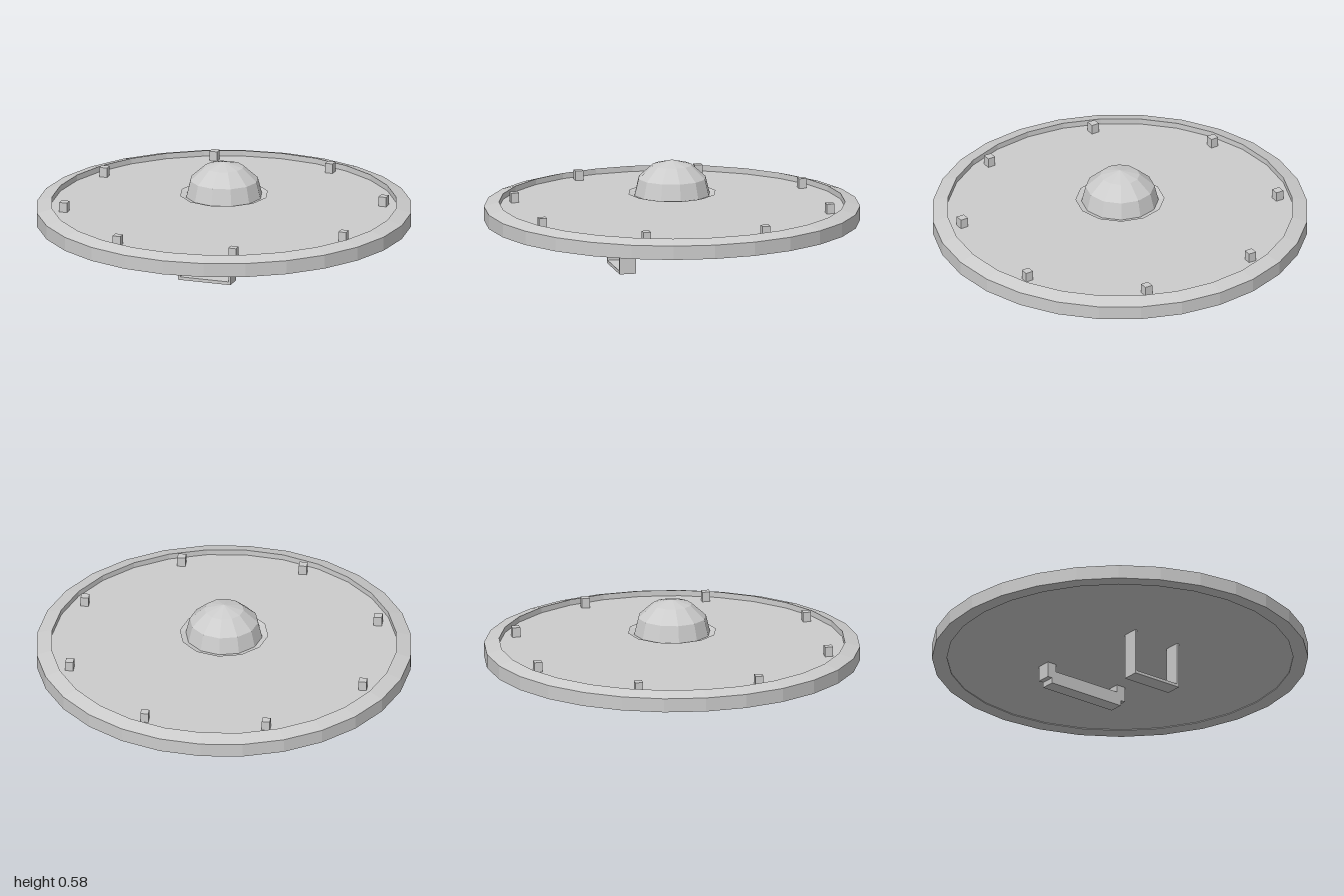
import * as THREE from 'three';

export function createModel() {
  const group = new THREE.Group();
  group.name = 'roundShield';

  const steel = new THREE.MeshStandardMaterial({ color: 0xcccccc, flatShading: true, side: THREE.DoubleSide });
  steel.name = 'pale grey';

  const add = (name, geometry, parent = group) => {
    const mesh = new THREE.Mesh(geometry, steel);
    mesh.name = name;
    parent.add(mesh);
    return mesh;
  };
  // Box given by its lower and upper corners
  const box = (name, a, b, parent) =>
    add(name, new THREE.BoxGeometry(b[0] - a[0], b[1] - a[1], b[2] - a[2]), parent)
      .position.set((a[0] + b[0]) / 2, (a[1] + b[1]) / 2, (a[2] + b[2]) / 2);
  const lathe = (name, points, sides) =>
    add(name, new THREE.LatheGeometry(points.map(([r, y]) => new THREE.Vector2(r, y)), sides));

  // Board, slightly recessed inside the rim
  add('board', new THREE.CylinderGeometry(0.921, 0.921, 0.063, 28)).position.y = 0.286;

  // Bevelled rim
  lathe('rim', [[0.92, 0.25], [1, 0.25], [1, 0.325], [0.92, 0.348], [0.92, 0.25]], 28);

  // Central boss: a dome with a thin upturned brim
  lathe('bossBrim', [[0.2, 0.39], [0.237, 0.4]], 12);
  lathe('bossDome', [[0.205, 0.39], [0.183, 0.48], [0.105, 0.55], [0, 0.578]], 12);

  // Eight square studs around the board
  for (let i = 0; i < 8; i++) {
    const a = Math.PI / 8 + i * Math.PI / 4;
    add('stud', new THREE.BoxGeometry(0.043, 0.056, 0.043))
      .position.set(0.85 * Math.cos(a), 0.342, 0.85 * Math.sin(a));
  }

  // Arm strap: a thin U below the board
  const strap = new THREE.Group();
  strap.name = 'armStrap';
  group.add(strap);
  box('strapBase', [-0.147, 0, 0.23], [0.147, 0.017, 0.32], strap);
  box('strapSide', [-0.147, 0.017, 0.23], [-0.135, 0.256, 0.32], strap);
  box('strapSide', [0.135, 0.017, 0.23], [0.147, 0.256, 0.32], strap);

  // Hand grip: a bar held by two stepped brackets
  const grip = new THREE.Group();
  grip.name = 'handGrip';
  group.add(grip);
  box('gripBar', [-0.232, 0.14, -0.366], [0.232, 0.213, -0.289], grip);
  box('gripBracket', [-0.26, 0.17, -0.366], [-0.207, 0.256, -0.289], grip);
  box('gripBracket', [0.207, 0.17, -0.366], [0.26, 0.256, -0.289], grip);

  return group;
}
